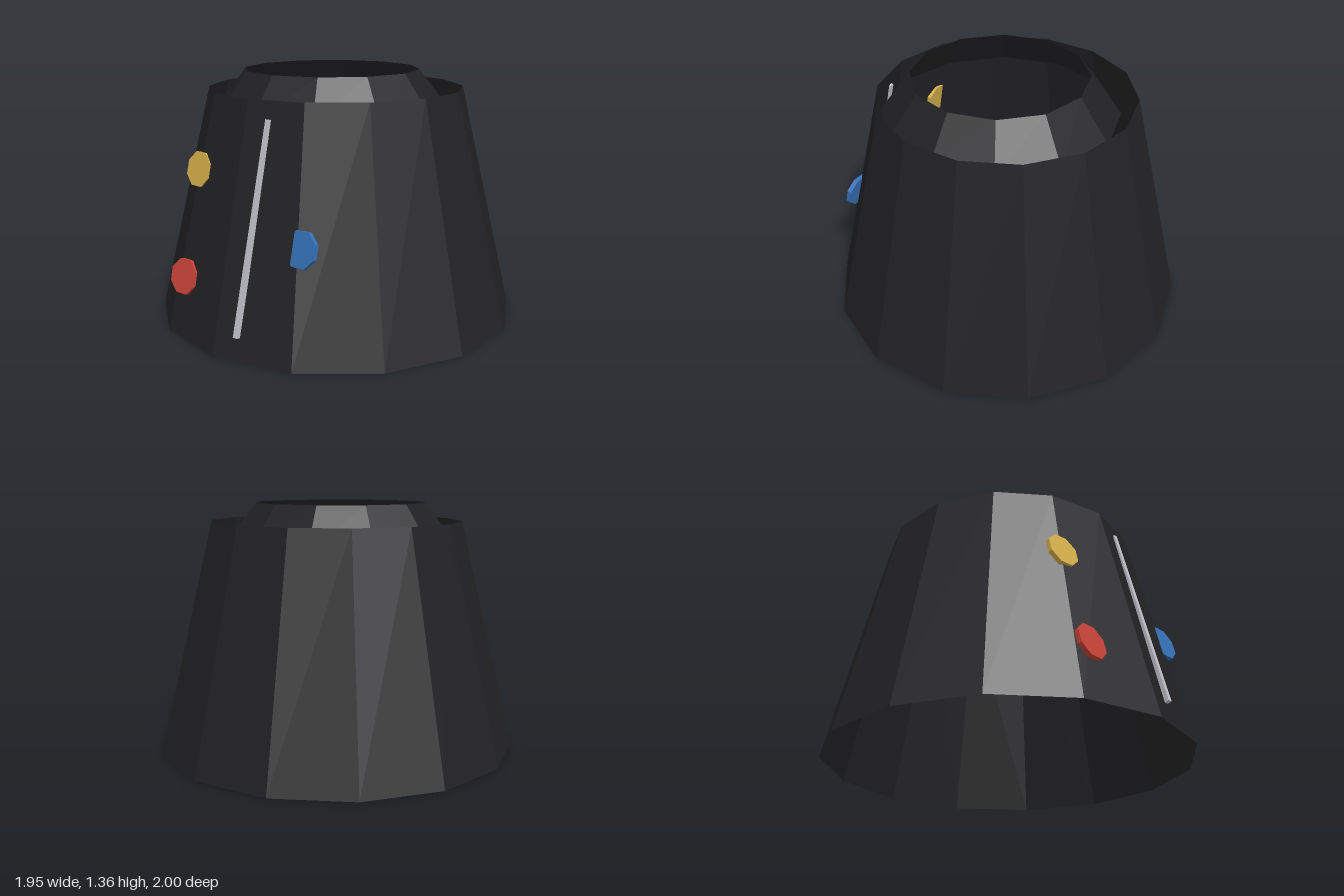
import * as THREE from 'three';

const TILT = Math.atan2(0.3, 1.26); // slope of the body wall

const material = (color) =>
  new THREE.MeshStandardMaterial({ color, flatShading: true, side: THREE.DoubleSide });

function addMesh(group, name, geometry, mat, position) {
  const mesh = new THREE.Mesh(geometry, mat);
  mesh.name = name;
  mesh.position.set(...position);
  group.add(mesh);
  return mesh;
}

export function createModel() {
  const model = new THREE.Group();
  model.name = 'taperedShell';
  const black = material(0x222225);

  // Open, fourteen-sided body
  addMesh(model, 'body', new THREE.CylinderGeometry(0.7, 1, 1.26, 14, 1, true), black, [0, 0.63, 0]);

  // Sloping collar, set slightly forward and sunk into the body
  addMesh(model, 'collar', new THREE.CylinderGeometry(0.48, 0.65, 0.225, 12, 1, true), black, [0, 1.2475, 0.04]);

  // Thin strip down the front wall
  const strip = addMesh(model, 'frontStrip', new THREE.BoxGeometry(0.025, 1.08, 0.025),
    material(0xc0c0c8), [0.127, 0.645, 0.824]);
  strip.rotation.x = -Math.atan2(0.265, 1.05);

  // Octagonal buttons lying along the slope of the wall
  const buttons = [
    ['yellowButton', 0xd4af4a, [-0.34, 0.865, 0.719], -0.1],
    ['redButton', 0xc84338, [-0.328, 0.317, 0.866], 0],
    ['blueButton', 0x3571b8, [0.393, 0.58, 0.77], 0],
  ];
  for (const [name, color, position, yaw] of buttons) {
    const disc = new THREE.CylinderGeometry(0.097, 0.097, 0.025, 8).rotateY(Math.PI / 8);
    addMesh(model, name, disc, material(color), position)
      .rotation.set(Math.PI / 2 - TILT, yaw, 0, 'YXZ');
  }

  return model;
}
